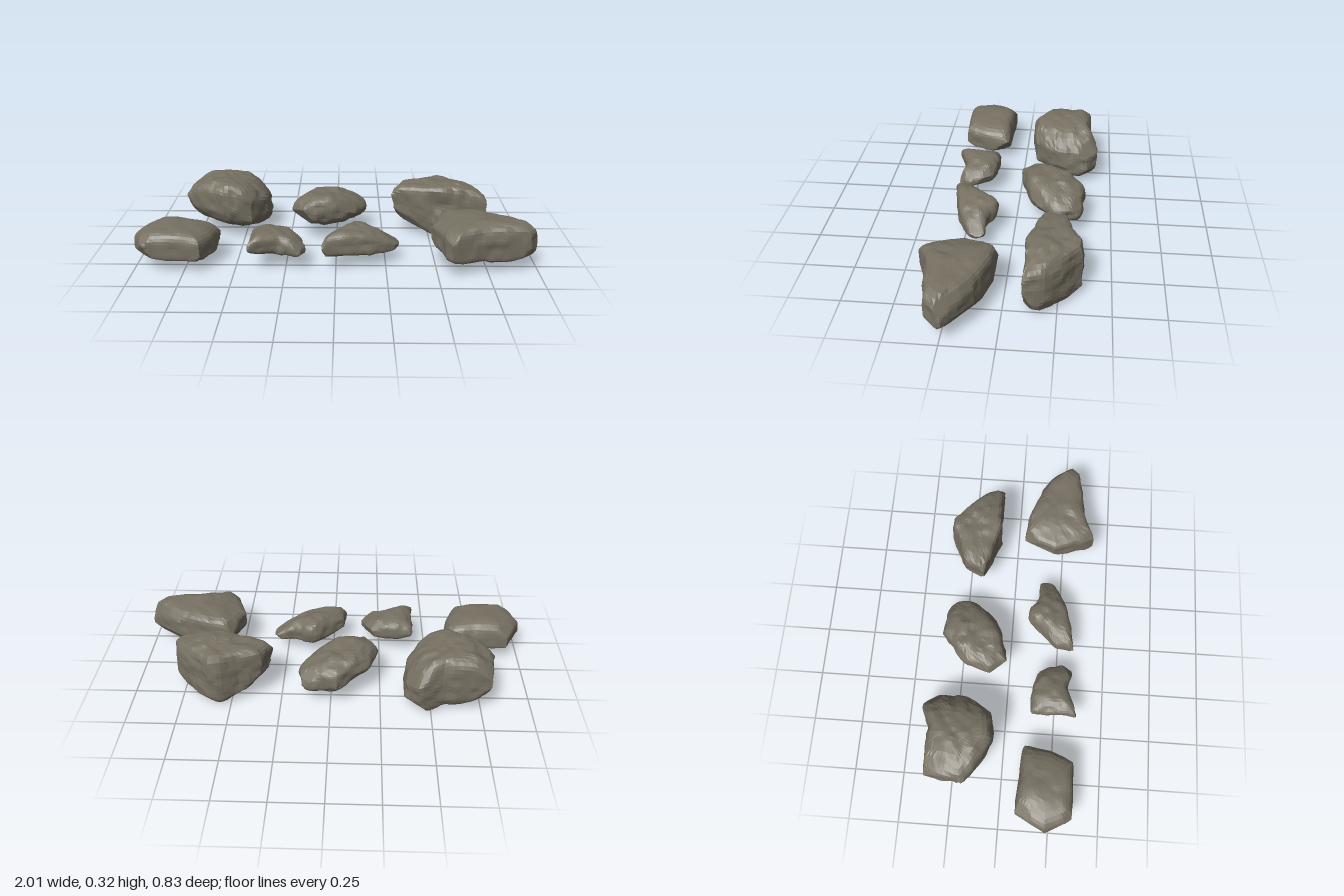
import * as THREE from 'three';

const SEGMENTS = 56, RINGS = 28;

function seeded(seed) {
  let s = seed * 7919 + 1;
  return () => (s = (s * 16807) % 2147483647) / 2147483647;
}

// Smooth height at t (0 to 1) through left, middle and right values
function sample([l, m, r], t) {
  return (1 - t) * (1 - 2 * t) * l + 4 * t * (1 - t) * m + t * (2 * t - 1) * r;
}

// Lattice noise in -1..1
function noise(p, scale) {
  const q = p.clone().multiplyScalar(scale).addScalar(100);
  const c = q.clone().floor(), f = q.sub(c);
  let sum = 0;
  for (let k = 0; k < 8; k++) {
    const i = k & 1, j = (k >> 1) & 1, l = k >> 2;
    const h = Math.sin((c.x + i) * 127.1 + (c.y + j) * 311.7 + (c.z + l) * 74.7) * 43758.5453;
    sum += (h - Math.floor(h)) * (i ? f.x : 1 - f.x) * (j ? f.y : 1 - f.y) * (l ? f.z : 1 - f.z);
  }
  return sum * 2 - 1;
}

// Evenly spaced points round a closed plan
function resample(plan) {
  const path = new THREE.CurvePath();
  const pts = plan.map(([x, z]) => new THREE.Vector2(x, z));
  pts.forEach((p, i) => path.add(new THREE.LineCurve(p, pts[(i + 1) % pts.length])));
  return Array.from({ length: SEGMENTS }, (_, i) => path.getPointAt(i / SEGMENTS));
}

// plan: corners [x, z]; top, base: heights at left, middle, right;
// sag: above 1 lowers the widest level; baseTilt: underside slope along z
function rockGeometry({ plan, top, base, boxiness, sag = 1, baseTilt = 0, rough = 1 }, seed) {
  const outline = resample(plan);
  const mid = outline.reduce((a, p) => a.add(p), new THREE.Vector2()).divideScalar(SEGMENTS);
  const xs = plan.map(p => p[0]);
  const left = Math.min(...xs), width = Math.max(...xs) - left;

  // Stacked rings swelling from the underside to the top
  const verts = [];
  for (let k = 0; k <= RINGS; k++) {
    const a = (k / RINGS - 0.5) * Math.PI;
    const c = Math.max(Math.cos(a), 0), s = Math.sin(a);
    const r = (c ** boxiness + Math.abs(s) ** boxiness) ** (1 / boxiness);
    const level = (0.5 + 0.5 * s / r) ** sag;
    for (const p of outline) {
      const x = mid.x + (p.x - mid.x) * c / r, z = mid.y + (p.y - mid.y) * c / r;
      const t = (x - left) / width;
      const low = sample(base, t) + (z - mid.y) * baseTilt;
      verts.push(new THREE.Vector3(x, THREE.MathUtils.lerp(low, sample(top, t), level), z));
    }
  }

  // Weather the surface
  const centre = new THREE.Box3().setFromPoints(verts).getCenter(new THREE.Vector3());
  for (const v of verts) {
    const lift = noise(v, 11) * 0.014 + noise(v, 29) * 0.009;
    v.addScaledVector(v.clone().sub(centre).normalize(), lift * rough);
  }

  // Chisel flat facets across the corners
  const rand = seeded(seed);
  const lean = () => (rand() < 0.5 ? -1 : 1) * (0.4 + 0.6 * rand());
  for (let n = 0; n < 12; n++) {
    const dir = new THREE.Vector3(lean(), lean(), lean()).normalize();
    const reach = v => v.clone().sub(centre).dot(dir);
    const limit = Math.max(...verts.map(reach)) * 0.94;
    for (const v of verts) v.addScaledVector(dir, -Math.max(reach(v) - limit, 0));
  }

  const index = [];
  for (let k = 0; k < RINGS; k++) {
    for (let i = 0; i < SEGMENTS; i++) {
      const a = k * SEGMENTS + i, b = k * SEGMENTS + (i + 1) % SEGMENTS;
      const c = b + SEGMENTS, d = a + SEGMENTS;
      if (k < RINGS - 1) index.push(a, d, c);
      if (k > 0) index.push(a, c, b);
    }
  }
  const geometry = new THREE.BufferGeometry().setFromPoints(verts).setIndex(index).toNonIndexed();
  geometry.computeVertexNormals();
  return geometry;
}

export function createModel() {
  const group = new THREE.Group();
  group.name = 'rocks';
  const stone = new THREE.MeshStandardMaterial({ color: 0x777163 });
  stone.name = 'stone';

  let seed = 10;
  const addRock = (name, shape) => {
    const mesh = new THREE.Mesh(rockGeometry(shape, seed++), stone);
    mesh.name = name;
    group.add(mesh);
  };

  // Back row
  addRock('backLeftRock', {
    plan: [[-.79, -.38], [-.56, -.37], [-.44, -.42], [-.37, -.36], [-.37, -.2], [-.45, -.07], [-.59, -.05], [-.83, -.18]],
    top: [.26, .33, .24], base: [.14, .05, .04], boxiness: 4, baseTilt: 0.2,
  });
  addRock('backMiddleRock', {
    plan: [[-.23, -.1], [-.2, -.21], [-.03, -.37], [.14, -.33], [.15, -.21], [.08, -.12], [-.01, -.06], [-.18, -.01]],
    top: [.23, .25, .19], base: [.13, .08, .09], boxiness: 3, rough: 1.4,
  });
  addRock('backRightRock', {
    plan: [[.3, -.17], [.35, -.27], [.52, -.35], [.6, -.36], [.78, -.2], [.81, -.09], [.56, -.1], [.38, -.14]],
    top: [.28, .3, .27], base: [.13, .015, .05], boxiness: 7,
  });

  // Front row
  addRock('frontLeftRock', {
    plan: [[-1.01, .23], [-.93, .08], [-.59, .1], [-.61, .24], [-.66, .36], [-.95, .36]],
    top: [.19, .22, .18], base: [.09, .07, .06], boxiness: 4.5, sag: 1.6, rough: 0.5,
  });
  addRock('smallFrontRock', {
    plan: [[-.44, .12], [-.33, .12], [-.19, .15], [-.15, .27], [-.18, .33], [-.28, .31], [-.43, .36]],
    top: [.18, .2, .14], base: [.1, .08, .08], boxiness: 3.2, rough: 1.2,
  });
  addRock('frontMiddleRock', {
    plan: [[-.07, .33], [-.05, .23], [.08, .1], [.16, .09], [.22, .13], [.33, .13], [.33, .2], [.18, .29]],
    top: [.19, .2, .11], base: [.08, .07, .07], boxiness: 3.6, sag: 1.2,
  });
  addRock('frontRightRock', {
    plan: [[.47, .2], [.54, .04], [.65, .05], [.84, .11], [1.01, .24], [.95, .32], [.71, .35], [.56, .41]],
    top: [.23, .26, .24], base: [.11, .06, .08], boxiness: 5.5, sag: 1.25, rough: 0.8,
  });
  return group;
}
